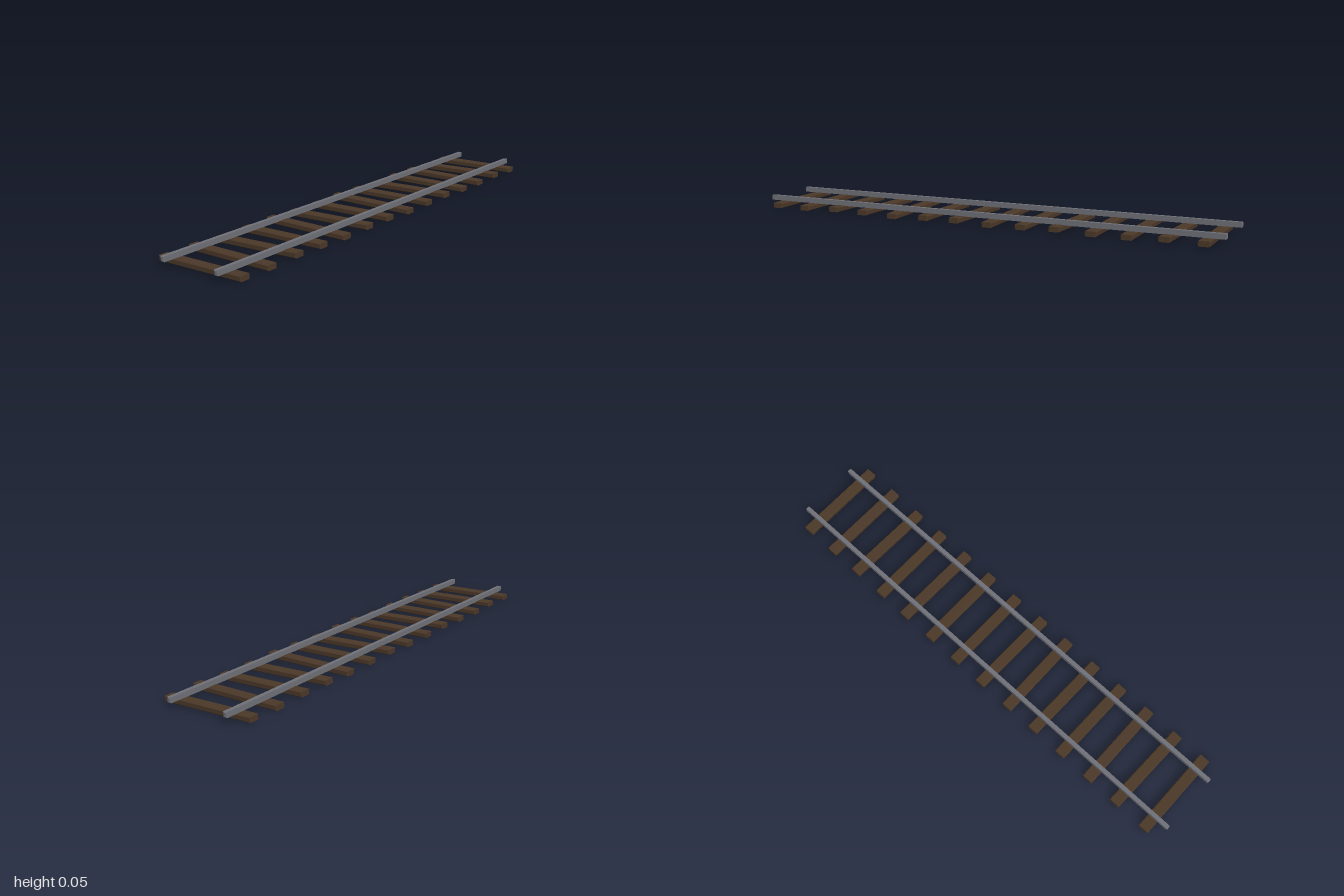
import * as THREE from 'three';

const wood = new THREE.MeshStandardMaterial({ name: 'dark wood', color: 0x4b3828, flatShading: true });
const steel = new THREE.MeshStandardMaterial({ name: 'rail steel', color: 0x6f7178, flatShading: true });

// Box with single-step chamfered edges, centred on the origin
function chamferedBox(w, h, d, c) {
  const x = w / 2 - c, y = h / 2 - c;
  const shape = new THREE.Shape([
    new THREE.Vector2(-x, -y), new THREE.Vector2(x, -y),
    new THREE.Vector2(x, y), new THREE.Vector2(-x, y),
  ]);
  const geometry = new THREE.ExtrudeGeometry(shape, {
    depth: d - 2 * c, bevelEnabled: true, bevelThickness: c, bevelSize: c, bevelSegments: 1,
  });
  return geometry.translate(0, 0, -d / 2 + c);
}

export function createModel() {
  const track = new THREE.Group();
  track.name = 'railwayTrack';

  // Wooden ties, each laid slightly askew
  const tieGeometry = chamferedBox(0.378, 0.021, 0.046, 0.003);
  const count = 14, spacing = 0.143;
  for (let i = 0; i < count; i++) {
    const tie = new THREE.Mesh(tieGeometry, wood);
    tie.name = `tie${i + 1}`;
    tie.position.set(0, 0.014, (i - (count - 1) / 2) * spacing);
    tie.rotation.set(0, 0.012 * Math.sin(i * 2.4 + 1), 0.018 * Math.sin(i * 1.9));
    track.add(tie);
  }

  // Two straight rails
  const railGeometry = chamferedBox(0.017, 0.021, 2, 0.003);
  for (const side of [1, -1]) {
    const rail = new THREE.Mesh(railGeometry, steel);
    rail.name = side > 0 ? 'leftRail' : 'rightRail';
    rail.position.set(side * 0.124, 0.0355, 0);
    track.add(rail);
  }
  return track;
}
